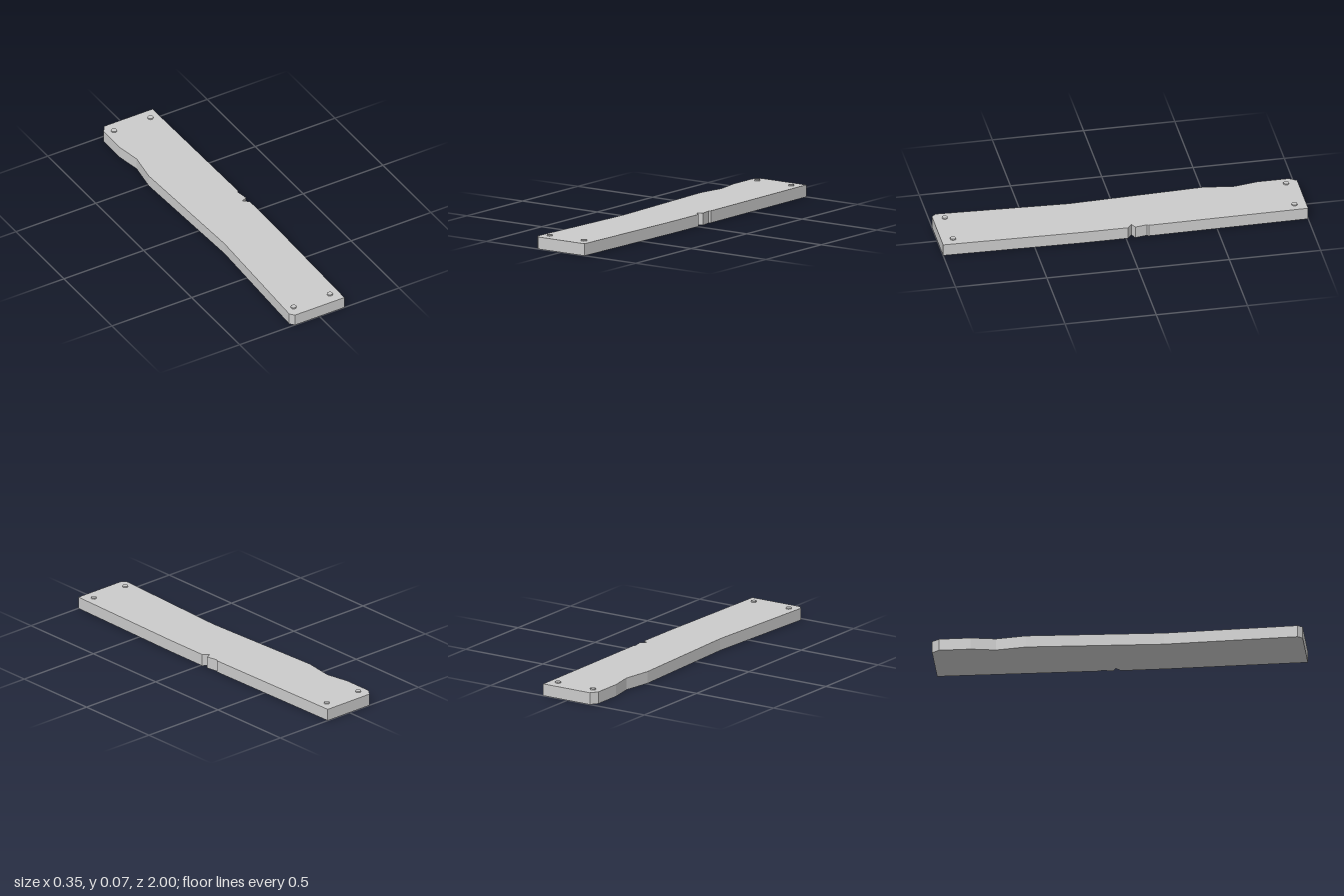
import * as THREE from 'three';

const THICKNESS = 0.066;

// Plank outline seen from above, as [x, z]
const OUTLINE = [
  // right edge, front to back, with the splintered notch
  [0.157, 1], [0.172, 0.25], [0.172, -0.01], [0.14, -0.035], [0.172, -0.05],
  [0.161, -0.115], [0.168, -0.125], [0.157, -1],
  // left edge, back to front
  [-0.146, -1], [-0.174, -0.96], [-0.174, -0.79], [-0.15, -0.655],
  [-0.174, -0.49], [-0.143, 0.25], [-0.174, 0.975], [-0.153, 1],
];

export function createModel() {
  const group = new THREE.Group();
  const material = new THREE.MeshStandardMaterial({ color: 0xcccccc, flatShading: true });

  // Board: outline extruded upwards
  const shape = new THREE.Shape(OUTLINE.map(([x, z]) => new THREE.Vector2(x, -z)));
  const boardGeometry = new THREE.ExtrudeGeometry(shape, { depth: THICKNESS, bevelEnabled: false });
  boardGeometry.rotateX(-Math.PI / 2);
  const board = new THREE.Mesh(boardGeometry, material);
  board.name = 'plank';
  group.add(board);

  // Nail heads at the four corners
  const nailGeometry = new THREE.CylinderGeometry(0.016, 0.016, 0.012, 8);
  nailGeometry.rotateY(Math.PI / 8);
  for (const x of [-0.123, 0.105]) {
    for (const z of [-0.935, 0.935]) {
      const nail = new THREE.Mesh(nailGeometry, material);
      nail.name = 'nailHead';
      nail.position.set(x, THICKNESS + 0.001, z);
      group.add(nail);
    }
  }
  return group;
}
